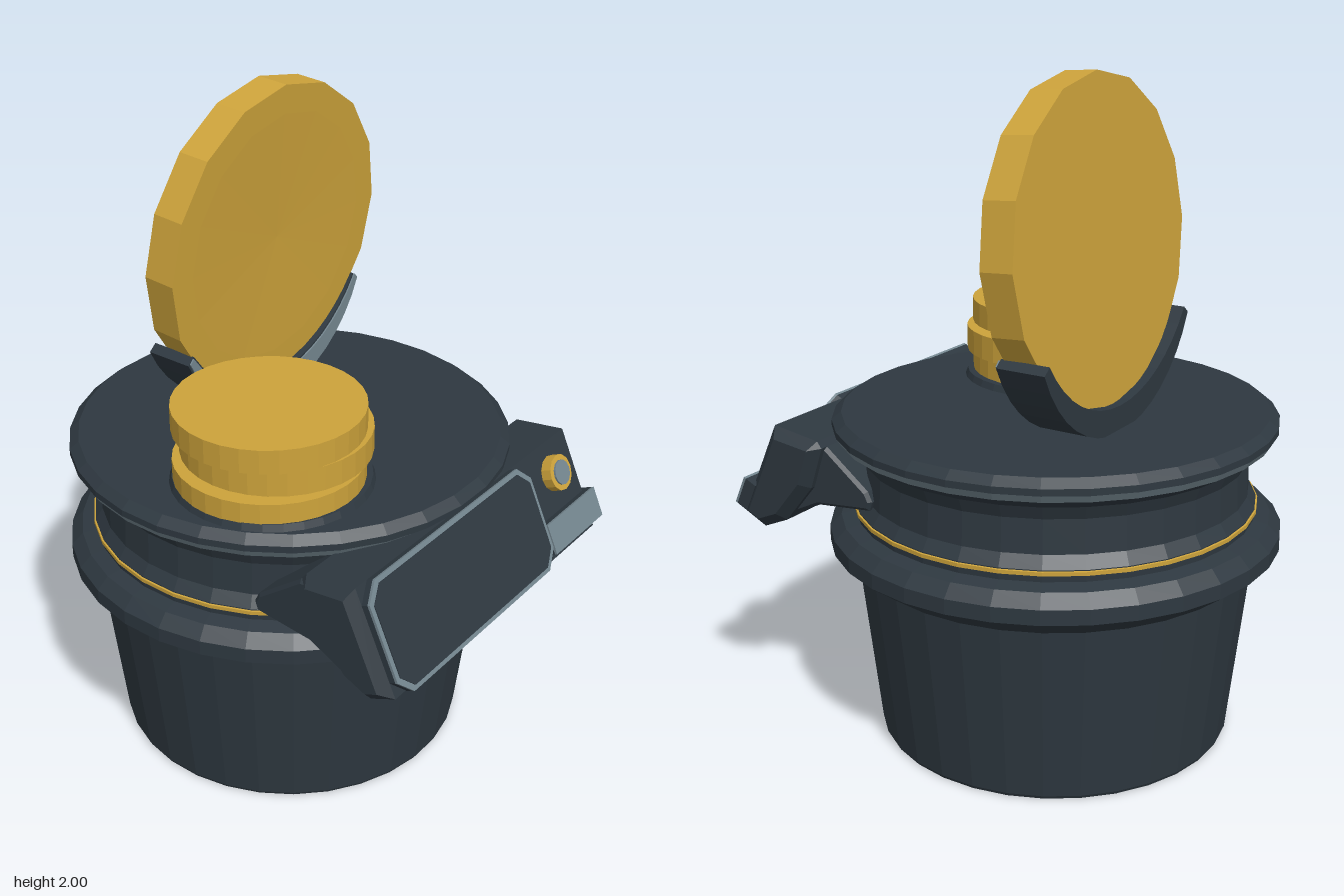
import * as THREE from 'three';

const mat = (name, color) => {
  const m = new THREE.MeshStandardMaterial({ color, flatShading: true });
  m.name = name;
  return m;
};

export function createModel() {
  const dark = mat('dark slate', 0x2e3840);
  const light = mat('steel blue', 0x74868f);
  const gold = mat('gold', 0xcda33b);
  const root = new THREE.Group();
  const CZ = -0.07; // pot axis

  const add = (parent, name, geo, m, x = 0, y = 0, z = 0) => {
    const mesh = new THREE.Mesh(geo, m);
    mesh.name = name;
    mesh.position.set(x, y, z);
    parent.add(mesh);
    return mesh;
  };
  const V = (pts) => pts.map(([x, y]) => new THREE.Vector2(x, y));
  const lathe = (pts) => new THREE.LatheGeometry(V(pts), 32, Math.PI / 32);

  // Pot: tapered bucket, wide collar, pinched neck and lid
  add(root, 'potAndCollar', lathe([[0, 0], [0.535, 0], [0.54, 0.01], [0.6, 0.55],
    [0.68, 0.61], [0.68, 0.655], [0.645, 0.69], [0.6, 0.7]]), dark, 0, 0, CZ);
  add(root, 'neck', lathe([[0.6, 0.69], [0.603, 0.735], [0.58, 0.77], [0.575, 0.87],
    [0.592, 0.91], [0.625, 0.937]]), dark, 0, 0, CZ);
  add(root, 'neckStripe', lathe([[0.598, 0.718], [0.608, 0.72], [0.608, 0.731], [0.598, 0.733]]), gold, 0, 0, CZ);
  add(root, 'lidTrim', lathe([[0.625, 0.937], [0.648, 0.945], [0.663, 0.968]]), light, 0, 0, CZ);
  add(root, 'lid', lathe([[0.663, 0.968], [0.663, 0.988], [0.635, 1.01], [0, 1.01]]), dark, 0, 0, CZ);

  // Stack of small coins in a shallow seat
  add(root, 'coinSeat', new THREE.CylinderGeometry(0.285, 0.295, 0.025, 32), dark, -0.29, 1.0175, 0.1);
  [[-0.302, 1.053, 0.074], [-0.27, 1.138, 0.075], [-0.302, 1.22, 0.072]].forEach(([x, y, h]) =>
    add(root, 'smallCoin', new THREE.CylinderGeometry(0.274, 0.274, h, 32), gold, x, y, 0.1));

  // Large upright coin, leaning forward, with a slightly dished front
  const coinGeo = new THREE.LatheGeometry(V([[0, -0.05], [0.465, -0.05], [0.465, 0.05],
    [0.38, 0.05], [0, 0.042]]), 16);
  coinGeo.rotateX(Math.PI / 2);
  const coin = add(root, 'largeCoin', coinGeo, gold, 0.108, 1.535, -0.242);
  coin.rotation.x = 0.068;

  // Crescent cradle holding the large coin
  const crescent = (inset) => {
    const pts = [], N = 16;
    const arc = (cy, r, a, dir) => {
      for (let i = 0; i <= N; i++) {
        const t = dir * a * (2 * i / N - 1);
        pts.push(new THREE.Vector2(r * Math.sin(t), cy - r * Math.cos(t)));
      }
    };
    arc(1.442, 0.442 - inset, 1.16, 1);
    arc(1.535, 0.455 + inset, 0.99, -1);
    return new THREE.Shape(pts);
  };
  const flat = (shape, depth) => new THREE.ExtrudeGeometry(shape, { depth, bevelEnabled: false });
  add(root, 'cradle', flat(crescent(0), 0.15), dark, 0.108, 0, -0.35);
  add(root, 'cradleFace', flat(crescent(0.006), 0.005), light, 0.108, 0, -0.2);

  // Side profiles (z, y) extruded across x with a chamfer
  const across = (pts, x0, x1, b) => {
    const g = new THREE.ExtrudeGeometry(new THREE.Shape(V(pts)), {
      depth: x1 - x0 - 2 * b, bevelEnabled: true, bevelSegments: 1,
      bevelThickness: b, bevelSize: b, bevelOffset: -b });
    g.rotateY(-Math.PI / 2);
    g.translate(x1 - b, 0, 0);
    return g;
  };
  add(root, 'consoleBody', across([[0.578, 0.972], [0.42, 0.95], [0.405, 0.93], [0.45, 0.8],
    [0.55, 0.68], [0.637, 0.642], [0.714, 0.678]], -0.573, 0.545, 0.03), dark);
  add(root, 'consoleBracket', across([[0.47, 0.935], [0.405, 0.93], [0.26, 0.82], [0.245, 0.79],
    [0.255, 0.762], [0.44, 0.743], [0.56, 0.69]], -0.557, 0.5, 0.01), dark);

  // Sloping console front
  const face = new THREE.Group();
  face.name = 'consoleFront';
  face.position.set(0, 0.835, 0.672);
  face.rotation.x = -0.433;
  root.add(face);

  const octagon = (w, h, c) => new THREE.Shape(V([
    [-w + c, -h], [w - c, -h], [w, -h + c], [w, h - c],
    [w - c, h], [-w + c, h], [-w, h - c], [-w, -h + c]]));
  add(face, 'screenBlock', flat(octagon(0.4, 0.163, 0.05), 0.055), dark, -0.143, 0, -0.063);
  add(face, 'screenFrame', flat(octagon(0.4, 0.163, 0.05), 0.008), light, -0.143, 0, -0.008);
  add(face, 'screen', flat(octagon(0.386, 0.149, 0.045), 0.005), dark, -0.143, 0, -0.002);

  // Small key and round button beside the screen
  add(face, 'keyBlock', new THREE.BoxGeometry(0.277, 0.094, 0.04), dark, 0.4015, -0.091, -0.028);
  add(face, 'keyFace', new THREE.BoxGeometry(0.277, 0.094, 0.008), light, 0.4015, -0.091, -0.004);
  [['buttonRing', 0.055, 0.05, gold], ['button', 0.038, 0.056, light]].forEach(([name, r, h, m]) => {
    const g = new THREE.CylinderGeometry(r, r, h, 12);
    g.rotateX(Math.PI / 2);
    add(face, name, g, m, 0.398, 0.068, h / 2 - 0.045);
  });

  return root;
}
